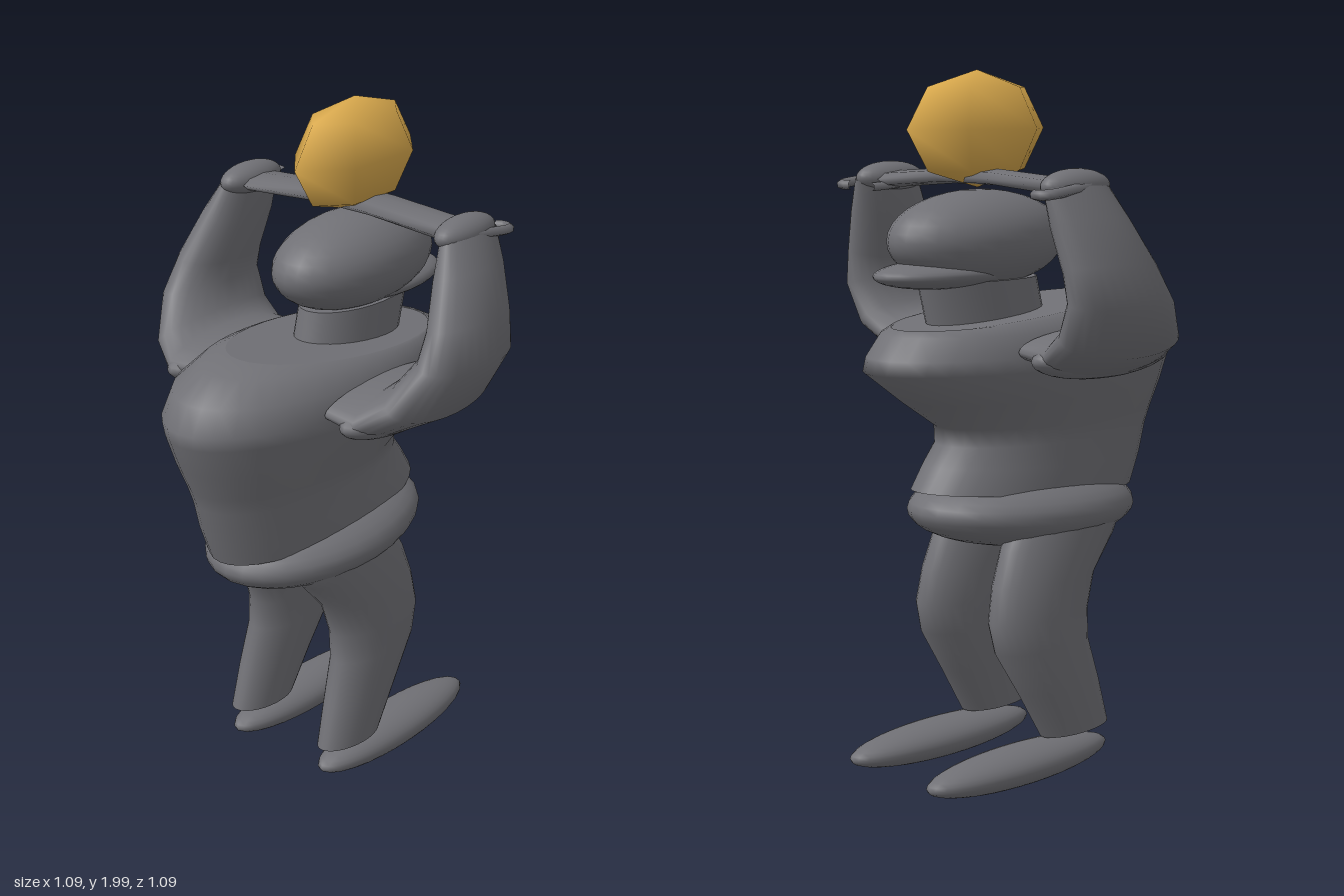
import * as THREE from 'three';

const grey = new THREE.MeshStandardMaterial({ color: 0x707075 });
grey.name = 'dark grey';
const gold = new THREE.MeshStandardMaterial({ color: 0xd8a84c });
gold.name = 'gold';

// Skin over elliptical rings [x, y, z, radiusX, radiusAcross, tilt]; the path runs in the yz plane.
function loft(rings, sides = 28) {
  const pos = [], index = [];
  const loops = rings.map((r, i) => {
    const a = rings[Math.max(i - 1, 0)], b = rings[Math.min(i + 1, rings.length - 1)];
    const len = Math.hypot(b[1] - a[1], b[2] - a[2]);
    const dy = (b[1] - a[1]) / len, dz = (b[2] - a[2]) / len;
    return Array.from({ length: sides }, (_, j) => {
      const t = (j / sides) * Math.PI * 2, c = Math.cos(t), s = Math.sin(t) * r[4];
      return [r[0] + r[3] * c, r[1] + (r[5] || 0) * c + dz * s, r[2] - dy * s];
    });
  });
  loops.forEach((loop) => loop.forEach((p) => pos.push(...p)));
  for (let i = 0; i < rings.length - 1; i++) {
    for (let j = 0; j < sides; j++) {
      const k = (j + 1) % sides, a = i * sides, b = a + sides;
      index.push(a + j, a + k, b + j, a + k, b + k, b + j);
    }
  }
  // End caps with their own vertices, so the rims stay sharp
  for (const end of [0, rings.length - 1]) {
    const c = pos.length / 3;
    pos.push(...rings[end].slice(0, 3));
    loops[end].forEach((p) => pos.push(...p));
    for (let j = 0; j < sides; j++) {
      const p = c + 1 + j, q = c + 1 + ((j + 1) % sides);
      if (end) index.push(c, p, q);
      else index.push(c, q, p);
    }
  }
  const g = new THREE.BufferGeometry();
  g.setAttribute('position', new THREE.Float32BufferAttribute(pos, 3));
  g.setIndex(index);
  g.computeVertexNormals();
  return g;
}

export function createModel() {
  const model = new THREE.Group();
  model.name = 'figure';

  const add = (name, geometry, material = grey) => {
    const mesh = new THREE.Mesh(geometry, material);
    mesh.name = name;
    model.add(mesh);
    return mesh;
  };
  const ball = (name, [x, y, z], [rx, ry, rz], w = 28, h = 18, material = grey) => {
    const mesh = add(name, new THREE.SphereGeometry(1, w, h), material);
    mesh.position.set(x, y, z);
    mesh.scale.set(rx, ry, rz);
    return mesh;
  };

  // Body
  add('torso', loft([
    [-0.005, 0.82, 0, 0.395, 0.185, 0.03],
    [-0.045, 0.90, 0, 0.39, 0.19, 0.015],
    [-0.078, 0.97, 0, 0.378, 0.19],
    [-0.087, 1.02, 0, 0.387, 0.20],
    [-0.045, 1.10, 0, 0.465, 0.23],
    [0, 1.19, 0, 0.543, 0.258],
    [-0.01, 1.23, 0, 0.54, 0.265],
    [-0.015, 1.295, 0, 0.495, 0.25, -0.005],
    [0.02, 1.33, 0, 0.43, 0.215, -0.025],
    [0.07, 1.335, 0, 0.38, 0.195, -0.035],
  ], 36));
  ball('pelvis', [0, 0.767, 0], [0.382, 0.113, 0.25]).rotation.z = 0.05;

  // Head
  add('neck', loft([
    [0.13, 1.27, 0, 0.2, 0.11],
    [0.17, 1.43, 0, 0.2, 0.11],
  ]));
  ball('head', [0.17, 1.54, 0], [0.295, 0.136, 0.166]);
  ball('jaw', [0.29, 1.45, 0], [0.232, 0.042, 0.125]);

  // Faceted nugget and the bar carried overhead
  ball('nugget', [0.17, 1.84, 0], [0.25, 0.16, 0.125], 6, 4, gold);
  add('bar', loft([
    [0.168, 1.69, -0.39, 0.077, 0.024],
    [0.168, 1.71, -0.1, 0.077, 0.022],
    [0.168, 1.71, 0.1, 0.077, 0.022],
    [0.168, 1.69, 0.39, 0.077, 0.024],
  ], 8));

  // Limbs on both sides
  for (const side of [1, -1]) {
    const label = side > 0 ? 'left' : 'right';
    const mirror = (rings) => rings.map(([x, y, z, ...rest]) => [x, y, z * side, ...rest]);

    add(label + 'Leg', loft(mirror([
      [-0.043, 0.125, 0.172, 0.122, 0.062, -0.005],
      [0.015, 0.26, 0.168, 0.145, 0.072],
      [0.075, 0.39, 0.162, 0.165, 0.082],
      [0.085, 0.48, 0.158, 0.175, 0.087],
      [0.06, 0.58, 0.152, 0.18, 0.09],
      [0, 0.68, 0.146, 0.205, 0.09],
      [-0.035, 0.74, 0.14, 0.205, 0.09],
    ])));
    ball(label + 'Foot', [0.17, 0.062, 0.17 * side], [0.335, 0.056, 0.086]);

    ball(label + 'Shoulder', [0, 1.23, 0.32 * side], [0.252, 0.063, 0.085]);
    add(label + 'Arm', loft(mirror([
      [0, 1.25, 0.24, 0.235, 0.05],
      [0, 1.24, 0.34, 0.24, 0.07],
      [0.03, 1.29, 0.42, 0.222, 0.08],
      [0.075, 1.39, 0.468, 0.185, 0.08],
      [0.105, 1.48, 0.455, 0.158, 0.076],
      [0.145, 1.60, 0.42, 0.132, 0.068],
      [0.172, 1.69, 0.395, 0.112, 0.046],
    ])));

    // Hand with a hooked finger and a thumb
    ball(label + 'Hand', [0.168, 1.697, 0.387 * side], [0.117, 0.046, 0.054]);
    const digit = (name, points, radius) => add(label + name, new THREE.TubeGeometry(
      new THREE.CatmullRomCurve3(points.map(([x, y, z]) => new THREE.Vector3(x, y, z * side))), 12, radius, 6));
    digit('Finger', [[0.14, 1.70, 0.425], [0.22, 1.69, 0.435], [0.305, 1.68, 0.435], [0.322, 1.678, 0.412], [0.312, 1.678, 0.385]], 0.014);
    digit('Thumb', [[0.15, 1.68, 0.35], [0.22, 1.675, 0.34], [0.27, 1.672, 0.343]], 0.012);
  }
  return model;
}
